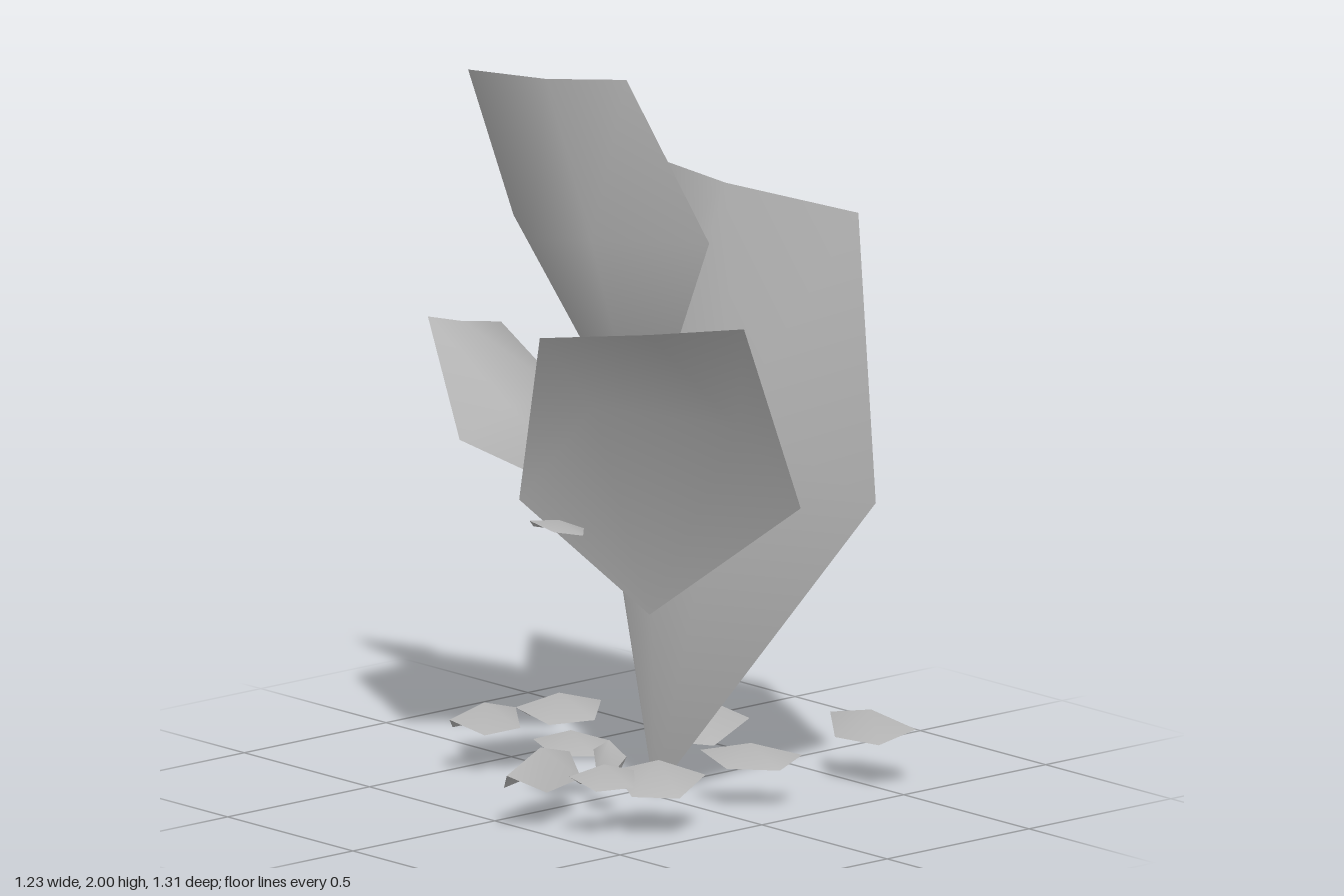
import * as THREE from 'three';

const stone = new THREE.MeshStandardMaterial({ color: 0xb4b4b4, side: THREE.DoubleSide });
stone.name = 'grey stone';

// Open sheet through rows of points; neighbouring rows may differ in length.
function sheet(name, rows) {
  const index = [];
  let start = 0;
  for (let r = 0; r < rows.length - 1; r++) {
    const n = rows[r].length, m = rows[r + 1].length, next = start + n;
    let i = 0, j = 0;
    while (i < n - 1 || j < m - 1) {
      const stepLower = j === m - 1 || (i < n - 1 && (i + 0.5) / (n - 1) <= (j + 0.5) / (m - 1));
      if (stepLower) {
        index.push(start + i, start + i + 1, next + j);
        i++;
      } else {
        index.push(start + i, next + j + 1, next + j);
        j++;
      }
    }
    start = next;
  }
  const geometry = new THREE.BufferGeometry();
  geometry.setAttribute('position', new THREE.Float32BufferAttribute(rows.flat(2), 3));
  geometry.setIndex(index);
  geometry.computeVertexNormals();
  const mesh = new THREE.Mesh(geometry, stone);
  mesh.name = name;
  return mesh;
}

// Small folded chip: two slopes meeting at a ridge along local z.
function chip(name, [x, y, z], length, width, height, yaw, pitch = 0, roll = 0) {
  const l = length / 2, w = width / 2;
  const mesh = sheet(name, [
    [[-w, 0, -l * 0.4], [-w * 0.85, 0, l * 0.65]],
    [[-w * 0.1, height * 0.6, -l], [0, height, 0], [w * 0.3, height * 0.5, l]],
    [[w * 0.9, 0, -l * 0.5], [w, 0, l * 0.35]],
  ]);
  mesh.position.set(x, y, z);
  mesh.rotation.set(pitch, yaw, roll, 'YXZ');
  return mesh;
}

export function createModel() {
  const model = new THREE.Group();
  model.name = 'shatteredShell';

  // Large cupped shards: foot, bulging middle row, broken top edge
  model.add(
    sheet('leftShard', [
      [[0.01, 0.0, 0.06]],
      [[0.375, 0.82, 0.53], [0.08, 1.06, 0.29], [0.025, 1.0, 0.02], [0.09, 1.13, -0.29], [0.34, 0.89, -0.555]],
      [[0.34, 1.61, 0.5], [0.27, 1.62, 0.05], [0.225, 1.66, -0.29]],
    ]),
    sheet('tallShard', [
      [[0.02, 0.92, 0.0]],
      [[0.035, 1.53, 0.25], [-0.23, 1.55, 0.08], [-0.22, 1.5, -0.18], [-0.01, 1.48, -0.48]],
      [[-0.195, 2.0, 0.18], [-0.24, 1.96, -0.09], [-0.285, 1.945, -0.35]],
    ]),
    sheet('frontShard', [
      [[0.01, 0.485, 0.04]],
      [[0.0, 0.89, 0.655], [-0.04, 1.08, 0.45], [-0.3, 1.125, 0.17], [-0.52, 0.9, 0.12]],
      [[-0.2, 1.41, 0.655], [-0.39, 1.395, 0.49], [-0.615, 1.39, 0.31]],
    ]),
    sheet('backShard', [
      [[0.0, 0.75, -0.14]],
      [[0.145, 0.86, -0.42], [0.06, 1.0, -0.33], [-0.2, 1.03, -0.28], [-0.35, 0.955, -0.31]],
      [[0.1, 1.14, -0.655], [-0.08, 1.18, -0.6], [-0.25, 1.23, -0.55]],
    ]),
  );

  // Chips around the foot: position, length, width, height, yaw
  const ground = [
    [[0.535, 0.125, 0.33], 0.28, 0.16, 0.07, 0.1],
    [[-0.41, 0.1, 0.08], 0.35, 0.13, 0.1, 1.85],
    [[-0.24, 0.11, 0.36], 0.24, 0.2, 0.08, 0.6],
    [[-0.38, 0.13, 0.3], 0.2, 0.1, 0.06, 1.2],
    [[0.12, 0.11, 0.32], 0.27, 0.11, 0.06, 0.65],
    [[0.23, 0.11, -0.02], 0.28, 0.2, 0.11, 0.4],
    [[0.08, 0.11, -0.4], 0.25, 0.12, 0.07, 1.2],
    [[-0.14, 0.11, -0.45], 0.24, 0.13, 0.07, 1.5],
    [[-0.17, 0.12, -0.07], 0.2, 0.1, 0.06, 0.8],
    [[-0.22, 0.12, 0.14], 0.1, 0.06, 0.08, 0.2],
  ];
  ground.forEach((c, i) => model.add(chip('groundChip' + (i + 1), ...c)));

  // Chips caught on the large shards
  model.add(
    chip('upperChip', [0.11, 1.16, 0.18], 0.2, 0.08, 0.03, 0, -1.0, -1.2),
    chip('slimChip', [0.09, 0.98, 0.03], 0.17, 0.03, 0.02, 0, -1.2, 0),
    chip('lowerChip', [0.1, 0.785, -0.16], 0.13, 0.05, 0.02, 0, 0.3, 0),
    chip('frontShardChip', [-0.38, 0.79, 0.11], 0.2, 0.08, 0.03, 1.5, 0.25, 0),
    chip('backChip', [0.19, 0.63, -0.44], 0.15, 0.1, 0.04, -0.4, -0.8, -0.4),
  );
  return model;
}
